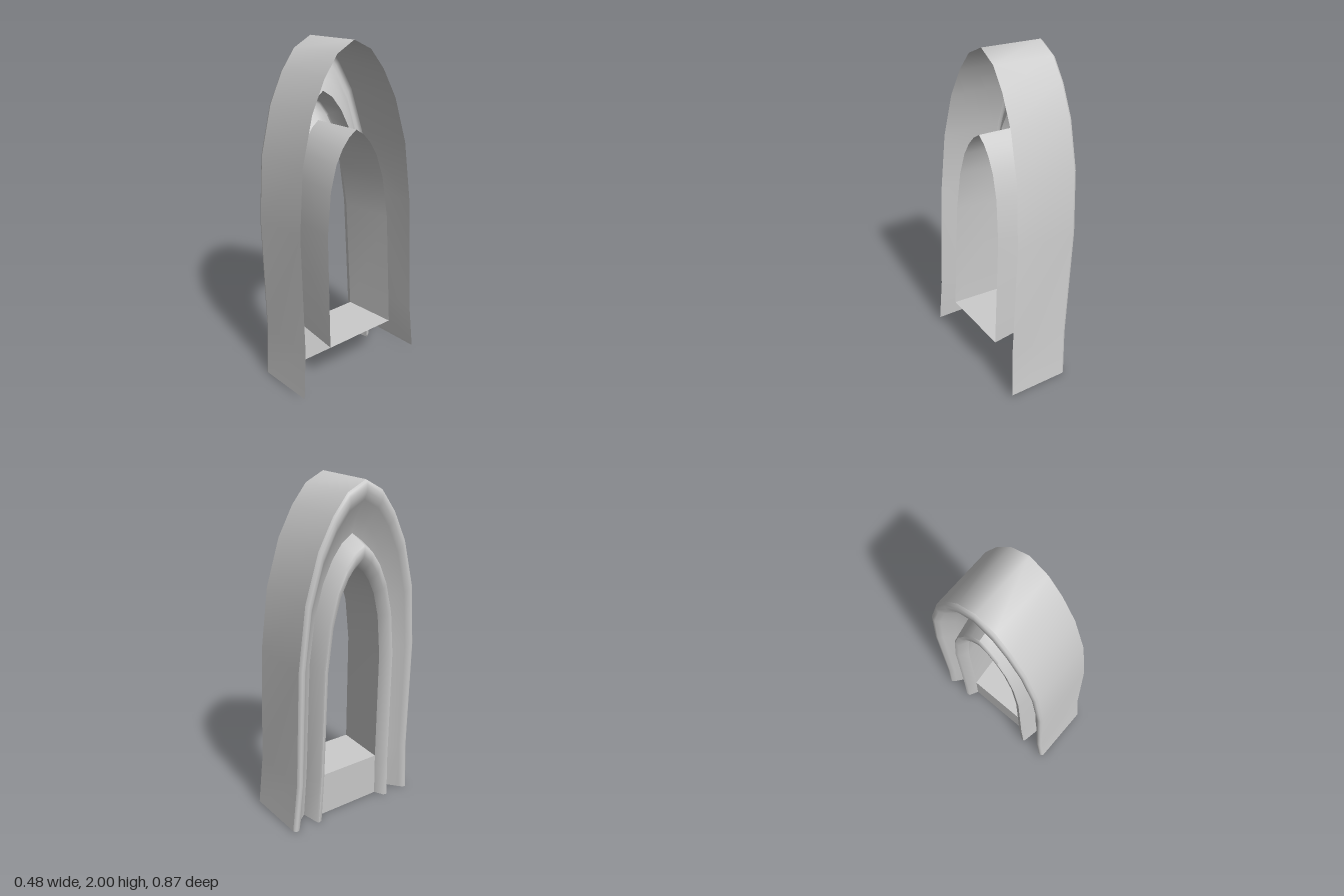
import * as THREE from 'three';
import { toCreasedNormals } from 'three/addons/utils/BufferGeometryUtils.js';

// Half outlines as [z, y], from the foot up to the pointed apex
const OUTER = [[0.437, 0], [0.413, 0.3], [0.408, 1.0], [0.37, 1.37], [0.293, 1.64], [0.205, 1.81], [0.115, 1.925], [0, 1.983]];
const GROOVE = [[0.293, 0], [0.278, 0.29], [0.268, 0.98], [0.238, 1.24], [0.187, 1.43], [0.128, 1.555], [0.065, 1.64], [0, 1.685]];
const WINDOW = [[0.213, 0], [0.203, 0.27], [0.193, 0.95], [0.165, 1.2], [0.127, 1.34], [0.087, 1.42], [0.045, 1.475], [0, 1.51]];

const LEAN = 0.048;
const material = new THREE.MeshStandardMaterial({ color: 0xcccccc, side: THREE.DoubleSide });

// Blend two half outlines
const mix = (a, b, t) => a.map(([z, y], i) => [z + (b[i][0] - z) * t, y + (b[i][1] - y) * t]);

// Mirror a half outline across z = 0 and place it at depth x, leaning back
function ring(half, x) {
  const full = [...half, ...half.slice(0, -1).reverse().map(([z, y]) => [-z, y])];
  return full.map(([z, y]) => [x - LEAN * y, y + LEAN * x + 0.008, z]);
}

// Skin a series of rings
function loft(name, rings, closed = false, crease = 0.97) {
  const n = rings[0].length;
  const index = [];
  for (let r = 0; r < rings.length - 1; r++) {
    for (let i = 0; i < (closed ? n : n - 1); i++) {
      const j = (i + 1) % n;
      const a = r * n + i, b = r * n + j, c = a + n, d = b + n;
      index.push(a, b, c, b, d, c);
    }
  }
  const geometry = new THREE.BufferGeometry();
  geometry.setAttribute('position', new THREE.Float32BufferAttribute(rings.flat(2), 3));
  geometry.setIndex(index);
  const mesh = new THREE.Mesh(toCreasedNormals(geometry, crease), material);
  mesh.name = name;
  return mesh;
}

export function createModel() {
  const group = new THREE.Group();
  group.name = 'archedWindow';

  // Outer wall, rounded rim and hollow slope: [blend from outer to groove, depth]
  const rim = [[0, 0.24], [0, -0.132], [0.03, -0.144], [0.09, -0.15], [0.2, -0.15], [0.35, -0.128], [0.7, -0.065], [1, -0.035]];
  const rimRings = rim.map(([t, x]) => ring(mix(OUTER, GROOVE, t), x));
  group.add(loft('outerWall', rimRings.slice(0, 2), false, 1.1));
  group.add(loft('outerRim', rimRings.slice(1)));

  // Raised inner moulding: [blend from groove to window edge, depth]
  const moulding = [[0, -0.035], [0.25, -0.14], [0.34, -0.15], [0.62, -0.146], [1, -0.09]];
  group.add(loft('innerMoulding', moulding.map(([t, x]) => ring(mix(GROOVE, WINDOW, t), x))));

  // Window reveal with sill, flaring slightly toward the open back
  const opening = WINDOW.slice(1);
  const rear = opening.map(([z, y], i) => [z * 1.15, i ? y : y - 0.012]);
  group.add(loft('windowReveal', [ring(opening, -0.09), ring(rear, 0.24)], true, 1.1));

  // Panel below the sill
  const edge = ring(WINDOW, -0.09);
  const last = edge.length - 1;
  group.add(loft('sillPanel', [[edge[0], edge[last]], [edge[1], edge[last - 1]]]));

  return group;
}
